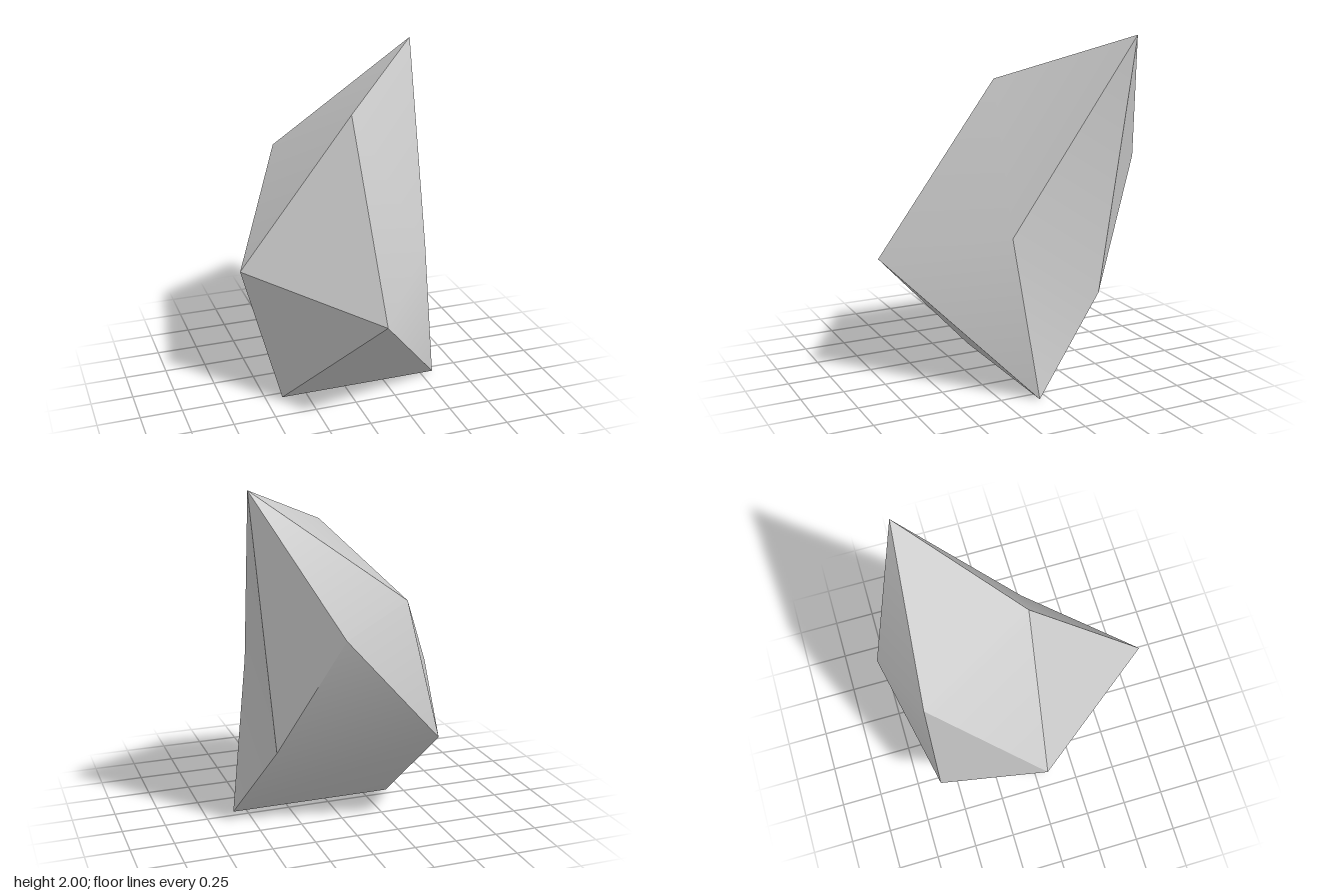
import * as THREE from 'three';
import { toCreasedNormals } from 'three/addons/utils/BufferGeometryUtils.js';

// Corners of the faceted rock
const corners = {
  peak: [0.61, 2.0, -0.51],
  shoulder: [0.03, 1.73, 0.07],
  side: [-0.62, 0.84, 0.0],
  nose: [-0.01, 0.75, 0.77],
  footRight: [-0.4, 0, 0.05],
  footLeft: [0.58, 0, 0.05],
  back: [0.17, 1.24, -0.775],
  heel: [-0.44, 0.58, -0.61],
  ridge: [-0.24, 1.38, -0.6],
  dent: [0.46, 0.91, 0.16],
  hip: [0.44, 0.52, -0.4],
};

// Each facet is a fan of triangles around its first corner
const facets = [
  'side nose shoulder',                      // front right
  'side footRight nose',
  'nose footRight footLeft',                 // underside of the nose
  'dent peak shoulder nose footLeft',        // broad front left
  'dent peak hip footLeft',                  // narrow left side
  'peak hip back',                           // back left
  'heel back hip footLeft footRight',        // back underside
  'heel footRight side ridge',               // back right
  'ridge side shoulder peak',                // top
  'ridge peak back heel',                    // upper back
];

function facetedGeometry() {
  const centre = new THREE.Vector3(0, 0.9, -0.05);
  const positions = [];
  for (const facet of facets) {
    const p = facet.split(' ').map((name) => new THREE.Vector3(...corners[name]));
    for (let i = 1; i < p.length - 1; i++) {
      const [a, b, c] = [p[0], p[i], p[i + 1]];
      const normal = b.clone().sub(a).cross(c.clone().sub(a));
      // Wind every triangle so that it faces away from the centre
      const outward = normal.dot(a.clone().sub(centre)) > 0;
      for (const v of outward ? [a, b, c] : [a, c, b]) positions.push(v.x, v.y, v.z);
    }
  }
  const geometry = new THREE.BufferGeometry();
  geometry.setAttribute('position', new THREE.Float32BufferAttribute(positions, 3));
  // Shallow folds stay soft, strong edges stay sharp
  return toCreasedNormals(geometry, THREE.MathUtils.degToRad(30));
}

export function createModel() {
  const group = new THREE.Group();
  group.name = 'rock';
  const stone = new THREE.Mesh(
    facetedGeometry(),
    new THREE.MeshStandardMaterial({ color: 0xcccccc })
  );
  stone.name = 'stone';
  group.add(stone);
  return group;
}
